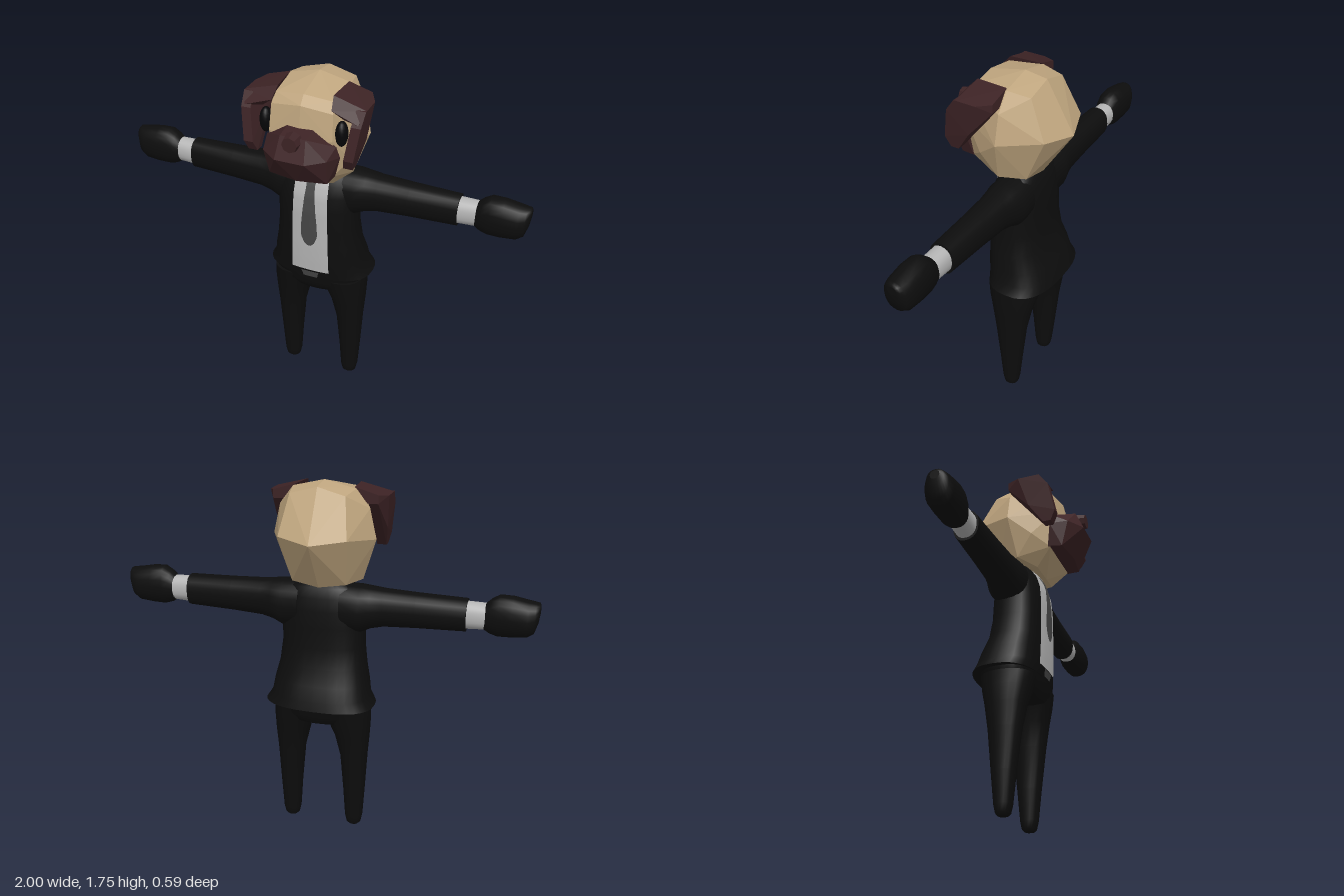
import * as THREE from 'three';
import { ConvexGeometry } from 'three/addons/geometries/ConvexGeometry.js';

const mat = (name, color, side = THREE.FrontSide) => {
  const m = new THREE.MeshStandardMaterial({ color, side });
  m.name = name;
  return m;
};

const POWER = 2.6; // squareness of the cloth cross-sections
const bend = (v, p) => Math.sign(v) * Math.abs(v) ** (2 / p);

// Closed loft through sections [t, centreU, centreZ, radiusU, radiusZ].
// axis 'y': t is y and u is x; axis 'x': t is x and u is y.
function loft(sections, axis = 'y', power = POWER, n = 32) {
  const pos = [], idx = [];
  const flip = axis === 'x' && sections.at(-1)[0] > sections[0][0];
  const put = (t, u, v) => pos.push(...(axis === 'y' ? [u, t, v] : [t, u, v]));
  const tri = (a, b, c) => (flip ? idx.push(a, c, b) : idx.push(a, b, c));
  const ring = ([t, u, v, ru, rv]) => {
    const start = pos.length / 3;
    for (let i = 0; i < n; i++) {
      const a = (i / n) * Math.PI * 2;
      put(t, u + ru * bend(Math.cos(a), power), v + rv * bend(Math.sin(a), power));
    }
    return start;
  };
  const starts = sections.map(ring);
  for (let k = 0; k < starts.length - 1; k++) {
    for (let i = 0; i < n; i++) {
      const j = (i + 1) % n, a = starts[k], b = starts[k + 1];
      tri(a + i, b + i, a + j);
      tri(a + j, b + i, b + j);
    }
  }
  // end caps with their own vertices, so the rims stay crisp
  [[sections[0], true], [sections.at(-1), false]].forEach(([s, first]) => {
    const r = ring(s), c = pos.length / 3;
    put(s[0], s[1], s[2]);
    for (let i = 0; i < n; i++) {
      const j = (i + 1) % n;
      first ? tri(c, r + i, r + j) : tri(c, r + j, r + i);
    }
  });
  const g = new THREE.BufferGeometry();
  g.setAttribute('position', new THREE.Float32BufferAttribute(pos, 3));
  g.setIndex(idx);
  g.computeVertexNormals();
  return g;
}

// [y, half width, front z, back z] to a loft section
const trunk = ([y, w, f, b]) => [y, 0, (f + b) / 2, w, (f - b) / 2];

const TORSO = [
  [0.69, 0.268, 0.06, -0.27], [0.735, 0.24, 0.068, -0.258], [0.8, 0.23, 0.071, -0.235],
  [0.88, 0.212, 0.073, -0.2], [0.98, 0.2, 0.073, -0.185], [1.08, 0.2, 0.072, -0.18],
  [1.16, 0.2, 0.064, -0.175], [1.22, 0.19, 0.045, -0.165], [1.265, 0.16, 0.02, -0.15],
  [1.285, 0.11, 0, -0.13],
];

// Front surface of the torso at a given x and y
function frontZ(x, y) {
  let k = 0;
  while (k < TORSO.length - 2 && y > TORSO[k + 1][0]) k++;
  const a = TORSO[k], b = TORSO[k + 1], t = (y - a[0]) / (b[0] - a[0]);
  const [, w, f, back] = a.map((v, i) => v + (b[i] - v) * t);
  const edge = Math.max(0, 1 - Math.min(1, Math.abs(x) / w) ** POWER) ** (1 / POWER);
  return (f + back) / 2 + ((f - back) / 2) * edge;
}

// Thin panel following the torso front; outline is [y, half width] upwards
function panel(outline, offset) {
  const g = new THREE.PlaneGeometry(1, 1, 8, 24), p = g.attributes.position;
  const y0 = outline[0][0], y1 = outline.at(-1)[0];
  for (let i = 0; i < p.count; i++) {
    const y = y0 + (p.getY(i) + 0.5) * (y1 - y0);
    let k = 0;
    while (k < outline.length - 2 && y > outline[k + 1][0]) k++;
    const [a, b] = [outline[k], outline[k + 1]];
    const half = a[1] + ((b[1] - a[1]) * (y - a[0])) / (b[0] - a[0]);
    const x = p.getX(i) * 2 * half;
    p.setXYZ(i, x, y, frontZ(x, y) + offset);
  }
  g.computeVertexNormals();
  return g;
}

// Faceted hull; with mirror, each point is repeated across x = 0
const hull = (points, side = 1, mirror = false) =>
  new ConvexGeometry(points.flatMap(([x, y, z]) => {
    const p = new THREE.Vector3(x * side, y, z);
    return mirror && x ? [p, new THREE.Vector3(-x, y, z)] : [p];
  }));

export function createModel() {
  const model = new THREE.Group();
  const suit = mat('suitBlack', 0x0d0d0d);
  const fur = mat('tanFur', 0xc0a67f);
  const brown = mat('darkBrownFur', 0x3d2325);
  const shirt = mat('shirtGrey', 0xb6b6b6, THREE.DoubleSide);
  const tieGrey = mat('tieGrey', 0x474747, THREE.DoubleSide);
  const eyeBlack = mat('eyeBlack', 0x060608);
  const add = (name, geometry, material) => {
    const m = new THREE.Mesh(geometry, material);
    m.name = name;
    model.add(m);
    return m;
  };

  // Jacket, trousers seat and shirt front
  add('jacket', loft(TORSO.map(trunk)), suit);
  add('trouserSeat', loft([
    [0.585, 0.06, 0.0, -0.17], [0.6, 0.14, 0.035, -0.205],
    [0.64, 0.232, 0.052, -0.215], [0.7, 0.24, 0.06, -0.235],
  ].map(trunk)), suit);
  add('shirtFront', panel([[0.735, 0.097], [1.27, 0.083]], 0.005), shirt);
  add('tie', panel([
    [0.89, 0.008], [0.905, 0.025], [0.945, 0.042], [1.0, 0.041], [1.2, 0.022], [1.225, 0.022], [1.27, 0.033],
  ], 0.011), tieGrey);
  add('beltBuckle', panel([[0.692, 0.036], [0.728, 0.046]], 0.008), tieGrey);
  add('collar', loft([[1.24, 0, -0.05, 0.12, 0.095], [1.295, 0, -0.05, 0.1, 0.08]], 'y', 2), shirt);

  // Head
  add('head', hull([
    [0, 1.75, -0.05], [0.15, 1.715, -0.05], [0, 1.735, -0.16], [0.13, 1.7, -0.16],
    [0, 1.71, 0.13], [0.135, 1.695, 0.12], [0, 1.67, 0.165], [0.145, 1.65, 0.15],
    [0.15, 1.53, 0.17], [0, 1.5, 0.19], [0.215, 1.63, -0.05], [0.247, 1.49, -0.05],
    [0, 1.5, -0.3], [0.16, 1.52, -0.245], [0.2, 1.4, 0.06], [0.14, 1.34, 0.14],
    [0.18, 1.29, -0.02], [0.13, 1.29, -0.14], [0, 1.27, -0.15], [0, 1.24, 0.07], [0.11, 1.255, 0.06],
  ], 1, true), fur);
  add('muzzle', hull([
    [0.06, 1.572, 0.17], [0.06, 1.56, 0.25], [0.165, 1.505, 0.16], [0.18, 1.45, 0.15],
    [0.15, 1.34, 0.13], [0.14, 1.335, 0.2], [0, 1.33, 0.22], [0.07, 1.46, 0.294], [0.15, 1.465, 0.235],
  ], 1, true), brown);
  const nose = add('nose', new THREE.CylinderGeometry(0.036, 0.045, 0.05, 8).toNonIndexed(), brown);
  nose.geometry.computeVertexNormals();
  nose.rotation.x = Math.PI / 2;
  nose.position.set(0, 1.54, 0.263);

  for (const s of [1, -1]) {
    const label = s > 0 ? 'left' : 'right';

    // Folded ear: upper fold and hanging flap
    add(label + 'EarFold', hull([
      [0.14, 1.722, -0.045], [0.13, 1.72, 0.11], [0.14, 1.67, 0.158], [0.25, 1.69, -0.045],
      [0.285, 1.68, 0.02], [0.285, 1.68, 0.12], [0.265, 1.63, 0.17], [0.2, 1.65, -0.045], [0.19, 1.63, 0.14],
    ], s), brown);
    const flap = [
      [0.25, 1.69, -0.045], [0.285, 1.68, 0.02], [0.285, 1.68, 0.13], [0.28, 1.62, 0.175],
      [0.26, 1.47, 0.205], [0.25, 1.42, 0.18], [0.25, 1.42, 0.14], [0.27, 1.52, 0.07], [0.25, 1.65, -0.045],
    ];
    add(label + 'EarFlap', hull(flap.flatMap(([x, y, z]) => [[x, y, z], [x - 0.045, y, z]]), s), brown);

    // Eye
    const eye = add(label + 'Eye', new THREE.SphereGeometry(1, 16, 12), eyeBlack);
    eye.scale.set(0.028, 0.06, 0.035);
    eye.position.set(s * 0.18, 1.56, 0.135);

    // Sleeve, cuff and hand, lofted outwards along x
    const along = (rows) => loft(rows.map(([x, ...r]) => [x * s, ...r]), 'x', 2.3, 20);
    add(label + 'Sleeve', along([
      [0.1, 1.165, -0.07, 0.115, 0.1], [0.19, 1.165, -0.07, 0.113, 0.1], [0.24, 1.174, -0.07, 0.099, 0.088],
      [0.3, 1.178, -0.07, 0.089, 0.078], [0.45, 1.179, -0.07, 0.082, 0.07], [0.68, 1.18, -0.07, 0.076, 0.061],
    ]), suit);
    add(label + 'Cuff', along([[0.66, 1.18, -0.07, 0.064, 0.052], [0.775, 1.182, -0.07, 0.06, 0.05]]), shirt);
    add(label + 'Hand', along([
      [0.757, 1.18, -0.07, 0.058, 0.048], [0.785, 1.185, -0.068, 0.08, 0.058], [0.82, 1.19, -0.067, 0.096, 0.065],
      [0.88, 1.19, -0.066, 0.094, 0.07], [0.95, 1.187, -0.067, 0.084, 0.067], [0.98, 1.195, -0.068, 0.072, 0.056],
      [0.995, 1.22, -0.07, 0.045, 0.04], [1.0, 1.235, -0.07, 0.02, 0.022],
    ]), suit);

    // Trouser leg with a rounded foot end
    add(label + 'Leg', loft([
      [0, 0.165, -0.082, 0.024, 0.024], [0.012, 0.165, -0.082, 0.036, 0.035], [0.05, 0.165, -0.082, 0.044, 0.043],
      [0.2, 0.165, -0.082, 0.053, 0.058], [0.4, 0.162, -0.08, 0.066, 0.08], [0.52, 0.152, -0.08, 0.085, 0.1],
      [0.6, 0.136, -0.08, 0.104, 0.12], [0.67, 0.122, -0.08, 0.117, 0.132],
    ].map(([y, x, ...r]) => [y, x * s, ...r]), 'y', 2.3, 20), suit);
  }
  return model;
}
